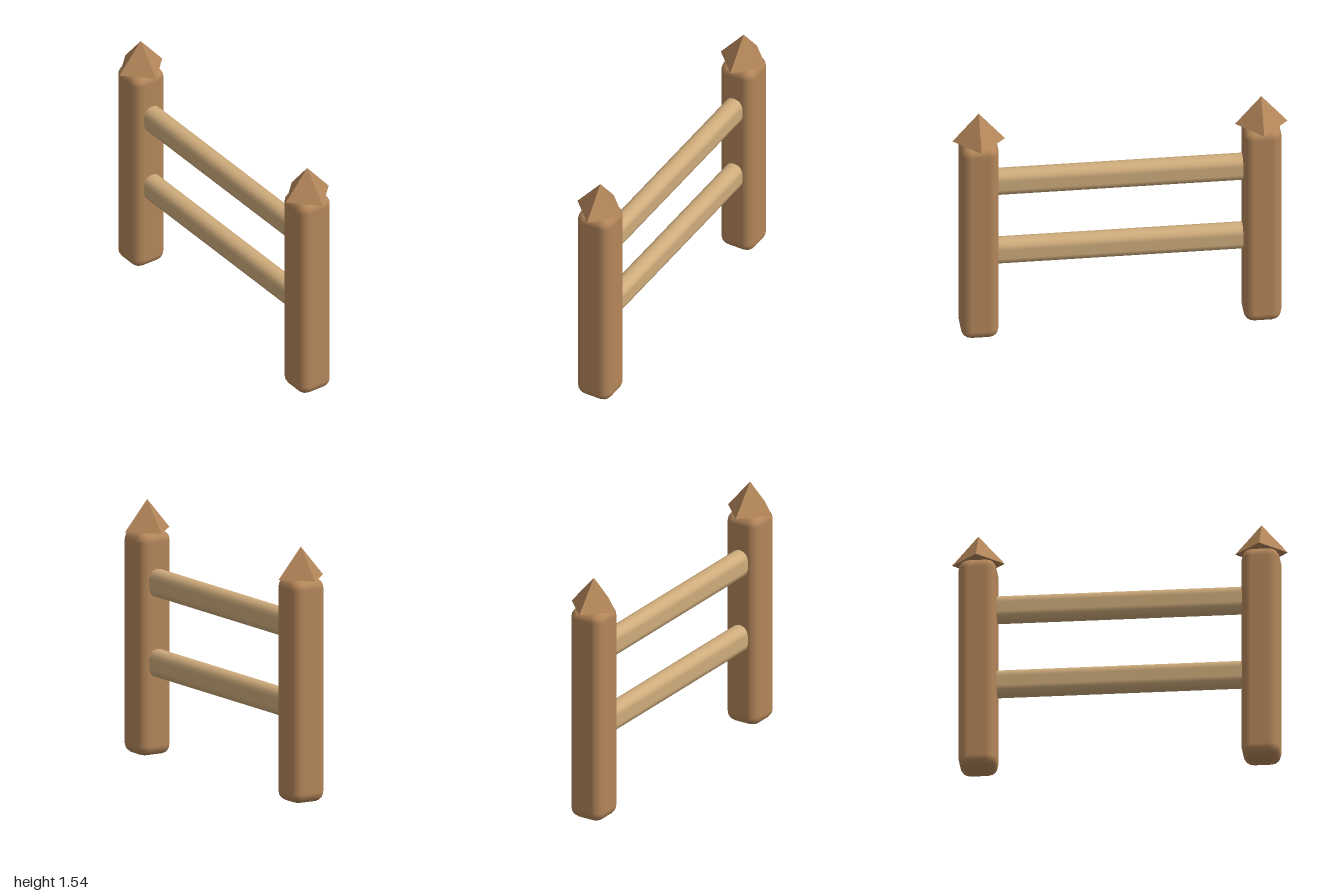
import * as THREE from 'three';
import { RoundedBoxGeometry } from 'three/addons/geometries/RoundedBoxGeometry.js';

const postWood = new THREE.MeshStandardMaterial({ color: 0xb4865a });
postWood.name = 'post wood';
const railWood = new THREE.MeshStandardMaterial({ color: 0xcfac7c });
railWood.name = 'rail wood';

function add(parent, name, geometry, material, x, y, z = 0) {
  const mesh = new THREE.Mesh(geometry, material);
  mesh.name = name;
  mesh.position.set(x, y, z);
  parent.add(mesh);
  return mesh;
}

export function createModel() {
  const fence = new THREE.Group();
  fence.name = 'fence';

  // Softly rounded square post and four-sided cap turned 45 degrees to it
  const postGeometry = new RoundedBoxGeometry(0.227, 1.354, 0.227, 2, 0.061);
  const capGeometry = new THREE.ConeGeometry(0.157, 0.185, 4).toNonIndexed();
  capGeometry.computeVertexNormals();

  for (const [side, x] of [['left', 0.843], ['right', -0.843]]) {
    add(fence, side + 'Post', postGeometry, postWood, x, 0.675);
    add(fence, side + 'Cap', capGeometry, postWood, x, 1.4425);
  }

  // Rails with rounded edges, their ends set into the posts
  const railGeometry = new RoundedBoxGeometry(1.58, 0.168, 0.115, 2, 0.054);
  add(fence, 'upperRail', railGeometry, railWood, 0, 1.048);
  add(fence, 'lowerRail', railGeometry, railWood, 0, 0.563);

  return fence;
}
